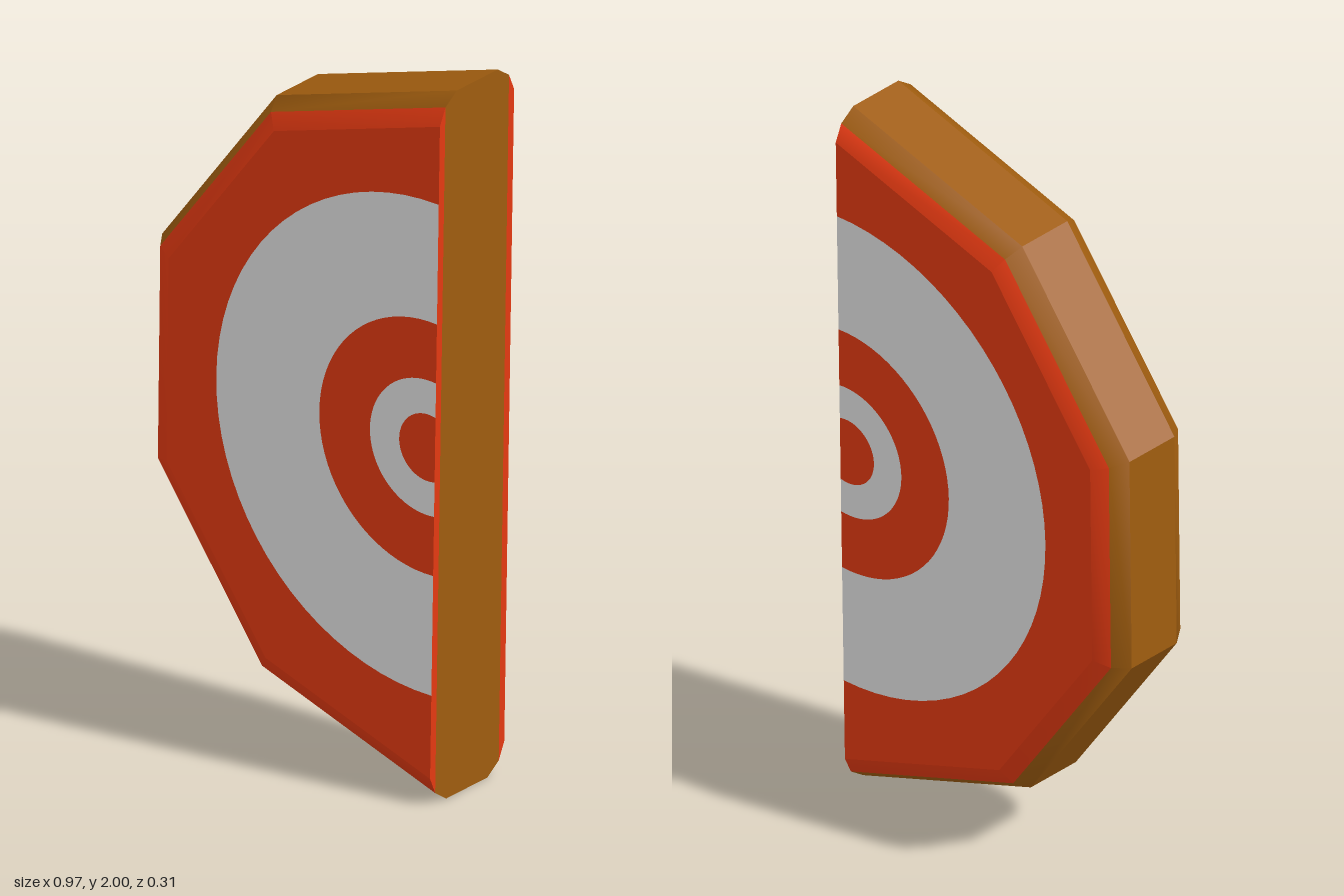
import * as THREE from 'three';
import { toCreasedNormals } from 'three/addons/utils/BufferGeometryUtils.js';

const V = (x, y) => new THREE.Vector2(x, y);

// Half decagon, counter-clockwise; the last edge (bottom to top) is the straight cut
const OUTLINE = [
  V(0.486, 2), V(-0.105, 1.823), V(-0.48, 1.33), V(-0.488, 0.712), V(-0.135, 0.207), V(0.451, 0),
];

// Rounded edge profile: [z, inset]
const PROFILE = [
  [-0.153, 0.075], [-0.131, 0.03], [-0.085, 0], [0.085, 0], [0.131, 0.03], [0.153, 0.075],
];

// Shrinks the outline on every edge except the cut
function insetOutline(d) {
  const n = OUTLINE.length;
  const lines = OUTLINE.map((p, i) => {
    const dir = OUTLINE[(i + 1) % n].clone().sub(p).normalize();
    const off = i === n - 1 ? 0 : d;
    return { p: V(p.x - dir.y * off, p.y + dir.x * off), dir };
  });
  return lines.map((b, i) => {
    const a = lines[(i + n - 1) % n];
    const t = b.p.clone().sub(a.p).cross(b.dir) / a.dir.cross(b.dir);
    return a.p.clone().addScaledVector(a.dir, t);
  });
}

// Circle arc on the board side of the cut, running from its top to its bottom
const CENTRE = V(0.445, 1.008);
function arc(r) {
  const cut = OUTLINE[0].clone().sub(OUTLINE[5]).normalize();
  const normal = V(cut.y, -cut.x);
  const dist = OUTLINE[5].clone().sub(CENTRE).dot(normal);
  const open = Math.acos(dist / r);
  const start = normal.angle() + open;
  const sweep = 2 * Math.PI - 2 * open;
  const steps = 40;
  return Array.from({ length: steps + 1 }, (_, i) => {
    const a = start + (sweep * i) / steps;
    return V(CENTRE.x + r * Math.cos(a), CENTRE.y + r * Math.sin(a));
  });
}

export function createModel() {
  const red = new THREE.MeshStandardMaterial({ color: 0xe63a12 });
  const white = new THREE.MeshStandardMaterial({ color: 0xe6e6e6 });
  const wood = new THREE.MeshStandardMaterial({ color: 0xa05d0f });
  red.name = 'red paint';
  white.name = 'white paint';
  wood.name = 'brown wood';

  const board = new THREE.Group();
  board.name = 'halfTargetBoard';

  // Rim, bevels and cut side: wooden core with a painted outer band
  const rings = PROFILE.map(([z, d]) => insetOutline(d).map((p) => [p.x, p.y, z]));
  const pos = [];
  let rim = new THREE.BufferGeometry();
  for (let k = 0; k < rings.length - 1; k++) {
    const [lo, hi] = [rings[k], rings[k + 1]];
    const first = pos.length / 3;
    for (let i = 0; i < 6; i++) {
      const j = (i + 1) % 6;
      pos.push(...lo[i], ...lo[j], ...hi[j], ...lo[i], ...hi[j], ...hi[i]);
    }
    rim.addGroup(first, 36, k === 0 || k === rings.length - 2 ? 1 : 0);
  }
  rim.setAttribute('position', new THREE.Float32BufferAttribute(pos, 3));
  rim = toCreasedNormals(rim, 0.56);
  const rimMesh = new THREE.Mesh(rim, [wood, red]);
  rimMesh.name = 'rim';
  board.add(rimMesh);

  // Painted faces: nested bands, each ending on the cut
  const edges = [insetOutline(0.075), arc(0.694), arc(0.356), arc(0.19), arc(0.094)];
  const names = ['outerBand', 'outerRing', 'middleRing', 'innerRing', 'bullseye'];
  for (const side of [1, -1]) {
    const face = new THREE.Group();
    face.name = side > 0 ? 'frontFace' : 'backFace';
    edges.forEach((outer, k) => {
      const inner = edges[k + 1] ? [...edges[k + 1]].reverse() : [];
      const geo = new THREE.ShapeGeometry(new THREE.Shape([...outer, ...inner]));
      if (side < 0) {
        geo.index.array.reverse();
        geo.computeVertexNormals();
      }
      const mesh = new THREE.Mesh(geo, k % 2 ? white : red);
      mesh.name = names[k];
      mesh.position.z = side * 0.153;
      face.add(mesh);
    });
    board.add(face);
  }
  return board;
}
